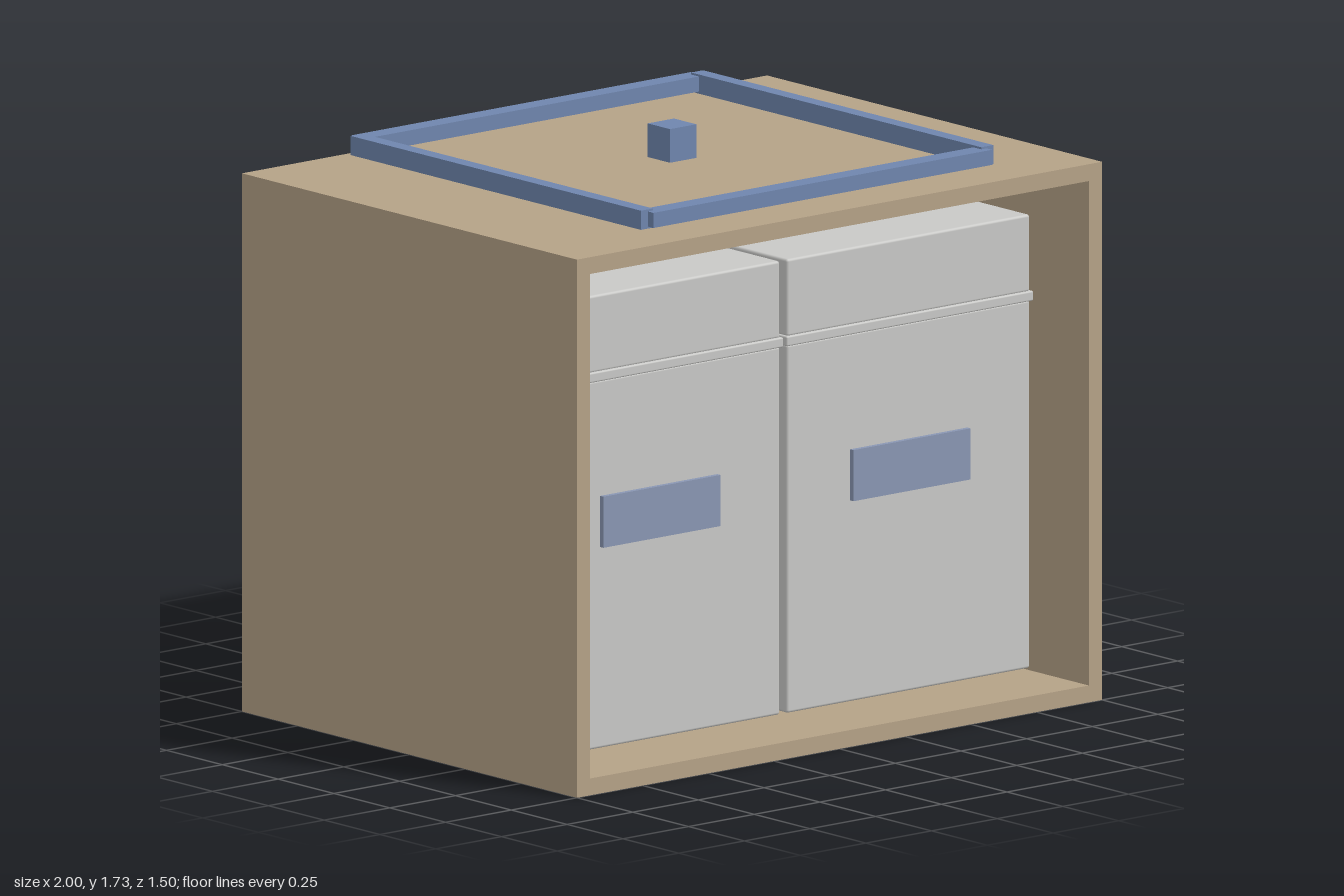
import * as THREE from 'three';
import { RoundedBoxGeometry } from 'three/addons/geometries/RoundedBoxGeometry.js';

const paint = (name, color) => Object.assign(new THREE.MeshStandardMaterial({ color }), { name });

export function createModel() {
  const tan = paint('tan board', 0xb5a287);
  const grey = paint('light grey plastic', 0xc9c9c7);
  const blue = paint('blue metal', 0x6f86ae);
  const paleBlue = paint('pale blue label', 0x8a97b3);
  const model = new THREE.Group();
  model.name = 'binCabinet';

  // box given by its size and centre
  const box = (parent, name, mat, size, pos, radius = 0) => {
    const geo = radius ? new RoundedBoxGeometry(...size, 2, radius) : new THREE.BoxGeometry(...size);
    const mesh = new THREE.Mesh(geo, mat);
    mesh.name = name;
    mesh.position.set(...pos);
    parent.add(mesh);
  };

  // cabinet shell: ring of walls extruded from the back panel to the open front
  const wall = 0.05;
  const outline = new THREE.Shape([[-1, 0], [1, 0], [1, 1.6], [-1, 1.6]].map(p => new THREE.Vector2(...p)));
  const a = 1 - wall, top = 1.6 - wall;
  outline.holes.push(new THREE.Path([[-a, wall], [-a, top], [a, top], [a, wall]].map(p => new THREE.Vector2(...p))));
  const shell = new THREE.Mesh(new THREE.ExtrudeGeometry(outline, { depth: 1.5, bevelEnabled: false }), tan);
  shell.name = 'cabinetWalls';
  shell.position.z = -0.75;
  model.add(shell);
  box(model, 'backPanel', tan, [2 * a, top - wall, wall], [0, 0.8, -0.725]);

  // two bins with rim, lid and front label
  for (const [side, s] of [['left', 1], ['right', -1]]) {
    const bin = new THREE.Group();
    bin.name = side + 'Bin';
    bin.position.x = s * 0.476;
    box(bin, 'binBody', grey, [0.925, 1.095, 1], [0, 0.608, 0], 0.008);
    box(bin, 'binRim', grey, [0.94, 0.03, 1.015], [0, 1.168, 0], 0.005);
    box(bin, 'binLid', grey, [0.925, 0.23, 1], [0, 1.295, 0], 0.008);
    box(bin, 'binLabel', paleBlue, [0.446, 0.152, 0.02], [0, 0.735, 0.505]);
    model.add(bin);
  }

  // raised square rail and centre knob above the top
  for (const s of [-1, 1]) {
    box(model, s > 0 ? 'frontRail' : 'backRail', blue, [1.29, 0.045, 0.06], [0, 1.652, s * 0.645]);
    box(model, s > 0 ? 'leftRail' : 'rightRail', blue, [0.046, 0.057, 1.3], [s * 0.648, 1.652, 0]);
  }
  box(model, 'topKnob', blue, [0.1, 0.1, 0.1], [0, 1.68, 0]);

  return model;
}
